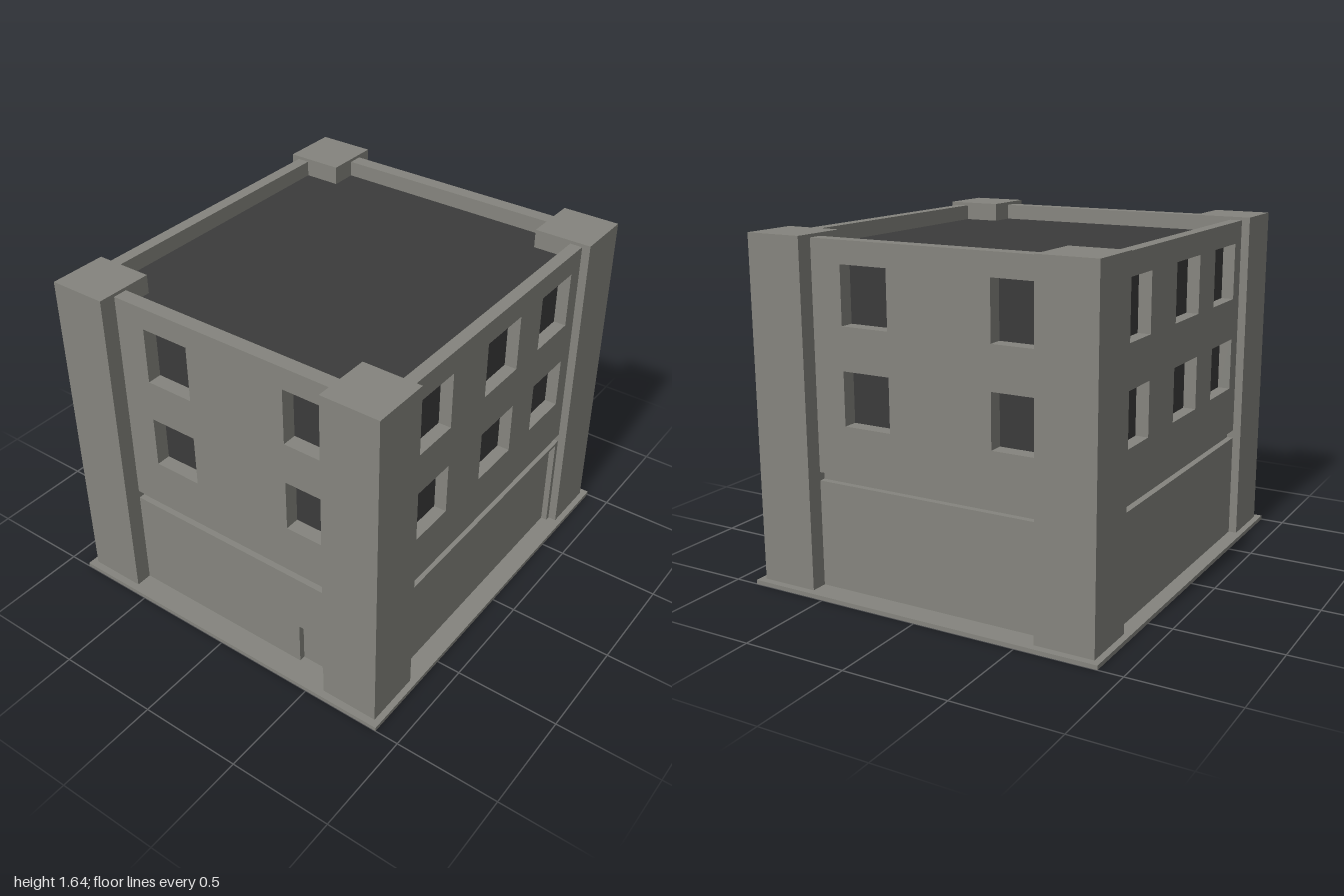
import * as THREE from 'three';

const stone = new THREE.MeshStandardMaterial({ color: 0x85847e });
stone.name = 'grey stone';
const dark = new THREE.MeshStandardMaterial({ color: 0x3b3b3b });
dark.name = 'dark glass and roof';

const BASE = 0.02, LOWER_TOP = 0.525, UPPER_BOTTOM = 0.565, WALL_TOP = 1.625;
const ROWS = [[0.8, 1.05], [1.25, 1.52]];

function box(parent, name, material, x0, x1, y0, y1, z0, z1) {
  const mesh = new THREE.Mesh(new THREE.BoxGeometry(x1 - x0, y1 - y0, z1 - z0), material);
  mesh.position.set((x0 + x1) / 2, (y0 + y1) / 2, (z0 + z1) / 2);
  mesh.name = name;
  parent.add(mesh);
}

function polygon(points, Type = THREE.Shape) {
  return new Type(points.map(([x, y]) => new THREE.Vector2(x, y)));
}

function slab(parent, name, shape, z0, depth) {
  const mesh = new THREE.Mesh(new THREE.ExtrudeGeometry(shape, { depth, bevelEnabled: false }), stone);
  mesh.position.z = z0;
  mesh.name = name;
  parent.add(mesh);
}

// One facade facing +z: pierced upper wall, recessed groove, lower wall with an optional recess
function facade({ name, half, face, thickness, columns, angle, recess, recessDepth = 0.03 }) {
  const g = new THREE.Group();
  g.name = name;
  const inner = face - thickness;

  const upper = polygon([[-half, UPPER_BOTTOM], [half, UPPER_BOTTOM], [half, WALL_TOP], [-half, WALL_TOP]]);
  for (const [a, b] of columns) {
    for (const [c, d] of ROWS) {
      upper.holes.push(polygon([[a, c], [a, d], [b, d], [b, c]], THREE.Path));
    }
  }
  slab(g, 'upperWall', upper, inner, thickness);

  const back = face - recessDepth;
  box(g, 'grooveBacking', stone, -half, half, BASE, UPPER_BOTTOM, inner, back);

  const lower = [[-half, BASE]];
  if (recess) {
    const [a, b, top] = recess;
    lower.push([a, BASE], [a, top], [b, top], [b, BASE]);
  }
  lower.push([half, BASE], [half, LOWER_TOP], [-half, LOWER_TOP]);
  slab(g, 'lowerWall', polygon(lower), back, recessDepth);

  g.rotation.y = angle;
  return g;
}

export function createModel() {
  const model = new THREE.Group();
  model.name = 'building';

  // Ground slab, and the dark core that forms the roof and window panes
  box(model, 'groundSlab', stone, -0.885, 0.885, 0, BASE, -1, 1);
  box(model, 'roofAndGlassCore', dark, -0.755, 0.755, BASE, 1.55, -0.815, 0.815);

  // Corner towers
  for (const sx of [-1, 1]) {
    for (const sz of [-1, 1]) {
      const x = sx * 0.715, z = sz * 0.825;
      box(model, 'cornerTower', stone, x - 0.14, x + 0.14, BASE, 1.64, z - 0.14, z + 0.14);
    }
  }

  // Facades: the back and left repeat the front and right turned half round
  const end = { half: 0.575, face: 0.885, thickness: 0.07, columns: [[-0.42, -0.18], [0.33, 0.55]] };
  const side = {
    half: 0.685, face: 0.815, thickness: 0.06,
    columns: [[-0.625, -0.39], [-0.12, 0.15], [0.34, 0.605]],
  };
  model.add(
    facade({ ...end, name: 'frontFacade', angle: 0, recess: [0.38, 0.51, 0.24] }),
    facade({ ...end, name: 'backFacade', angle: Math.PI }),
    facade({ ...side, name: 'rightFacade', angle: Math.PI / 2, recess: [-0.66, 0.66, 0.51] }),
    facade({ ...side, name: 'leftFacade', angle: -Math.PI / 2 }),
  );
  return model;
}
